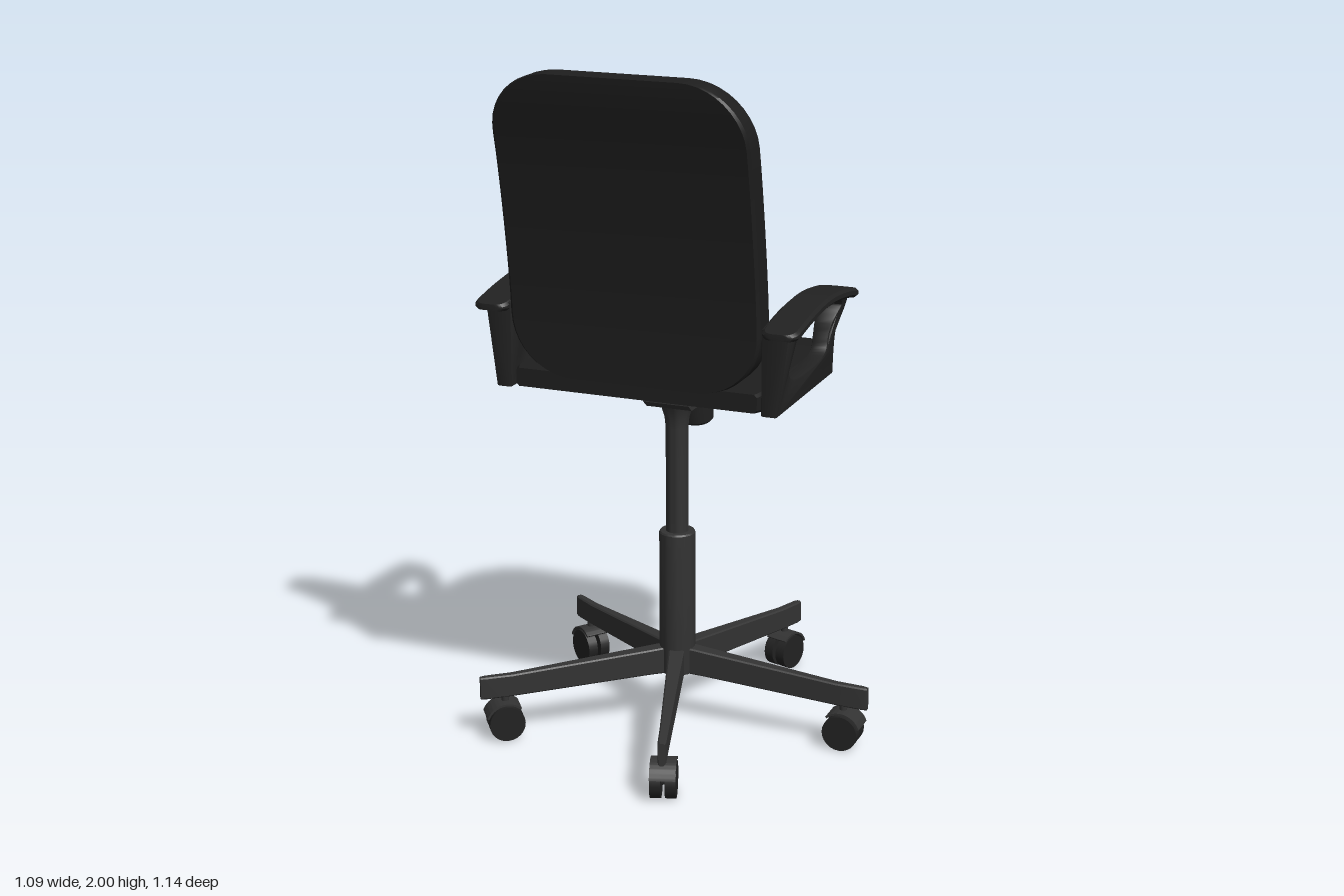
import * as THREE from 'three';
import { toCreasedNormals } from 'three/addons/utils/BufferGeometryUtils.js';

const fabric = new THREE.MeshStandardMaterial({ color: 0x1e1e1e });
const plastic = new THREE.MeshStandardMaterial({ color: 0x222222 });
const frame = new THREE.MeshStandardMaterial({ color: 0x333333 });

function add(parent, name, geometry, material, x = 0, y = 0, z = 0) {
  const mesh = new THREE.Mesh(geometry, material);
  mesh.name = name;
  mesh.position.set(x, y, z);
  parent.add(mesh);
  return mesh;
}

// Closed solid through a row of convex rings with equal point counts
function loft(rings, crease = 0.6) {
  const n = rings[0].length;
  const index = [];
  for (let r = 0; r < rings.length - 1; r++) {
    for (let i = 0; i < n; i++) {
      const a = r * n + i, b = r * n + (i + 1) % n;
      index.push(a, b, b + n, a, b + n, a + n);
    }
  }
  const last = (rings.length - 1) * n;
  for (let i = 1; i < n - 1; i++) {
    index.push(0, i + 1, i, last, last + i, last + i + 1);
  }
  // Turn the faces outward
  const points = rings.flat().map((p) => new THREE.Vector3(...p));
  let volume = 0;
  const cross = new THREE.Vector3();
  for (let i = 0; i < index.length; i += 3) {
    cross.crossVectors(points[index[i + 1]], points[index[i + 2]]);
    volume += points[index[i]].dot(cross);
  }
  if (volume < 0) index.reverse();
  const geometry = new THREE.BufferGeometry().setFromPoints(points);
  geometry.setIndex(index);
  return toCreasedNormals(geometry, crease);
}

// Rectangle spanning +-w by lo..hi with cut corners
function bevelled(w, lo, hi, e) {
  return [[-w, lo + e], [-w, hi - e], [-w + e, hi], [w - e, hi],
    [w, hi - e], [w, lo + e], [w - e, lo], [-w + e, lo]];
}

function curve(points) {
  return new THREE.SplineCurve(points.map((p) => new THREE.Vector2(...p)));
}

function seatGeometry() {
  // z, half width, bottom, top
  const rows = [
    [-0.43, 0.16, 1.046, 1.092], [-0.42, 0.225, 1.05, 1.1], [-0.395, 0.275, 1.058, 1.11],
    [-0.35, 0.317, 1.068, 1.124], [-0.28, 0.35, 1.079, 1.137], [-0.19, 0.368, 1.086, 1.143],
    [0, 0.37, 1.088, 1.145], [0.28, 0.37, 1.088, 1.145], [0.31, 0.36, 1.09, 1.143],
  ];
  return loft(rows.map(([z, w, lo, hi]) => bevelled(w, lo, hi, 0.008).map(([x, y]) => [x, y, z])));
}

function backGeometry() {
  const bottom = 1.13, top = 2, radius = 0.175, half = 0.37;
  const front = curve([[1.13, 0.23], [1.4, 0.24], [1.6, 0.27], [1.8, 0.312], [2, 0.366]]);
  const ys = [];
  for (let i = 0; i <= 10; i++) ys.push(bottom + radius * (1 - Math.cos(i * Math.PI / 20)));
  for (let i = 1; i < 10; i++) ys.push(bottom + radius + (top - bottom - 2 * radius) * i / 10);
  for (let i = 0; i <= 10; i++) ys.push(top - radius * (1 - Math.sin(i * Math.PI / 20)));
  return loft(ys.map((y) => {
    const d = Math.max(0, bottom + radius - y, y - top + radius);
    const w = half - radius + Math.sqrt(Math.max(0, radius * radius - d * d));
    const z = front.getPoint((y - bottom) / (top - bottom)).y;
    return bevelled(w, z, z + 0.083, 0.008).map(([x, dz]) => [x, y, dz]);
  }));
}

// Looped arm support, drawn in the z-y plane and flared outward at the top
function armLoopGeometry() {
  const shape = new THREE.Shape();
  shape.moveTo(0.308, 1.09);
  shape.lineTo(0.308, 1.325);
  shape.splineThru([[0.18, 1.345], [0.05, 1.353], [-0.08, 1.343], [-0.194, 1.32]].map((p) => new THREE.Vector2(...p)));
  shape.splineThru([[-0.194, 1.25], [-0.168, 1.2], [-0.156, 1.15], [-0.15, 1.09]].map((p) => new THREE.Vector2(...p)));
  shape.closePath();
  const hole = curve([[0.228, 1.23], [0.222, 1.29], [0.18, 1.317], [0.03, 1.328], [-0.12, 1.316], [-0.162, 1.29],
    [-0.13, 1.25], [-0.112, 1.2], [-0.095, 1.165], [-0.03, 1.147], [0.1, 1.145], [0.19, 1.157], [0.222, 1.185], [0.228, 1.23]]);
  shape.holes.push(new THREE.Path(hole.getPoints(52)));
  const geometry = new THREE.ExtrudeGeometry(shape, {
    depth: 0.036, curveSegments: 8, bevelThickness: 0.006, bevelSize: 0.005, bevelSegments: 2,
  });
  geometry.translate(0, 0, -0.414).rotateY(-Math.PI / 2);
  const p = geometry.attributes.position;
  for (let i = 0; i < p.count; i++) {
    if (p.getX(i) > 0.4) p.setX(i, p.getX(i) + 0.03 * THREE.MathUtils.smoothstep(p.getY(i), 1.2, 1.33));
  }
  return toCreasedNormals(geometry, 0.6);
}

function armPadGeometry() {
  const crown = curve([[0.34, 1.327], [0.2, 1.352], [0.05, 1.365], [-0.1, 1.352], [-0.215, 1.328]]);
  const rings = [];
  for (let i = 0; i <= 24; i++) {
    const t = (1 - Math.cos(i * Math.PI / 24)) / 2;
    const { x: z, y } = crown.getPoint(t);
    const end = Math.max(0, 1 - Math.min(t, 1 - t) / 0.09);
    const w = 0.022 + 0.031 * Math.sqrt(1 - end * end);
    rings.push(bevelled(w, y - 0.028 + 0.01 * end, y, 0.008).map(([x, v]) => [x + 0.427, v, z]));
  }
  return loft(rings);
}

function createCaster() {
  const caster = new THREE.Group();
  caster.name = 'caster';
  const wheel = new THREE.CylinderGeometry(0.053, 0.053, 0.031, 24).rotateX(Math.PI / 2);
  for (const side of [-1, 1]) add(caster, 'wheel', wheel, plastic, 0, 0.053, side * 0.0215);
  add(caster, 'axle', new THREE.CylinderGeometry(0.015, 0.015, 0.06, 12).rotateX(Math.PI / 2), frame, 0, 0.053, 0);
  // Curved hood over the wheels
  const hood = new THREE.Shape();
  hood.absarc(0, 0, 0.064, 0.35, 2.3, false);
  hood.absarc(0, 0, 0.058, 2.3, 0.35, true);
  const hoodGeometry = new THREE.ExtrudeGeometry(hood, { depth: 0.074, bevelEnabled: false, curveSegments: 14 });
  add(caster, 'hood', toCreasedNormals(hoodGeometry, 0.6), frame, 0, 0.053, -0.037);
  add(caster, 'casterStem', new THREE.CylinderGeometry(0.011, 0.011, 0.09, 12), frame, 0, 0.095, 0);
  return caster;
}

export function createModel() {
  const model = new THREE.Group();
  model.name = 'officeChair';
  const chair = new THREE.Group();
  chair.name = 'chair';
  chair.position.x = -0.056;
  model.add(chair);

  add(chair, 'seat', seatGeometry(), fabric);
  add(chair, 'backrest', backGeometry(), fabric);

  // Armrests, mirrored
  const loop = armLoopGeometry(), pad = armPadGeometry();
  for (const side of [1, -1]) {
    const arm = new THREE.Group();
    arm.name = side > 0 ? 'leftArmrest' : 'rightArmrest';
    arm.scale.x = side;
    add(arm, 'armSupport', loop, plastic);
    add(arm, 'armPad', pad, plastic);
    chair.add(arm);
  }

  // Tilt mechanism under the seat
  const box = [[0.085, 1.012, 1.09], [0.06, 0.992, 1.09], [-0.2, 0.992, 1.09]].map(([z, lo, hi]) =>
    [[-0.07, lo, z], [0.07, lo, z], [0.07, hi, z], [-0.07, hi, z]]);
  add(chair, 'tiltMechanism', loft(box, 0.3), frame);
  const knob = new THREE.LatheGeometry([[0, -0.05], [0.042, -0.05], [0.05, -0.042], [0.053, 0.015], [0.045, 0.022],
    [0.045, 0.075]].map((p) => new THREE.Vector2(...p)), 20);
  add(chair, 'tensionKnob', toCreasedNormals(knob, 0.5), plastic, 0, 0.945, -0.147).rotation.x = 0.12;
  add(chair, 'heightLever', new THREE.CylinderGeometry(0.005, 0.005, 0.25, 8).rotateZ(Math.PI / 2), frame, -0.19, 1.045, 0.02);

  // Gas lift column and hub
  const column = [[0, 0.16], [0.052, 0.16], [0.053, 0.17], [0.053, 0.597], [0.05, 0.602], [0.033, 0.602], [0.033, 0.92],
    [0.036, 0.95], [0.045, 0.98], [0.054, 1.0], [0, 1.0]];
  add(chair, 'column', toCreasedNormals(new THREE.LatheGeometry(column.map((p) => new THREE.Vector2(...p)), 32), 0.5), frame);

  // Five-legged star base: radius, half width, bottom, top
  const leg = loft([[0.02, 0.024, 0.16, 0.243], [0.09, 0.022, 0.157, 0.236], [0.5, 0.013, 0.13, 0.198],
    [0.58, 0.012, 0.127, 0.196], [0.595, 0.009, 0.127, 0.195]].map(([r, w, lo, hi]) =>
    bevelled(w, lo, hi, 0.004).map(([z, y]) => [r, y, z])));
  for (let i = 0; i < 5; i++) {
    const spoke = new THREE.Group();
    spoke.name = 'baseSpoke';
    spoke.rotation.y = i * Math.PI * 2 / 5;
    add(spoke, 'baseLeg', leg, frame);
    const caster = createCaster();
    caster.position.x = 0.522;
    spoke.add(caster);
    chair.add(spoke);
  }
  return model;
}
